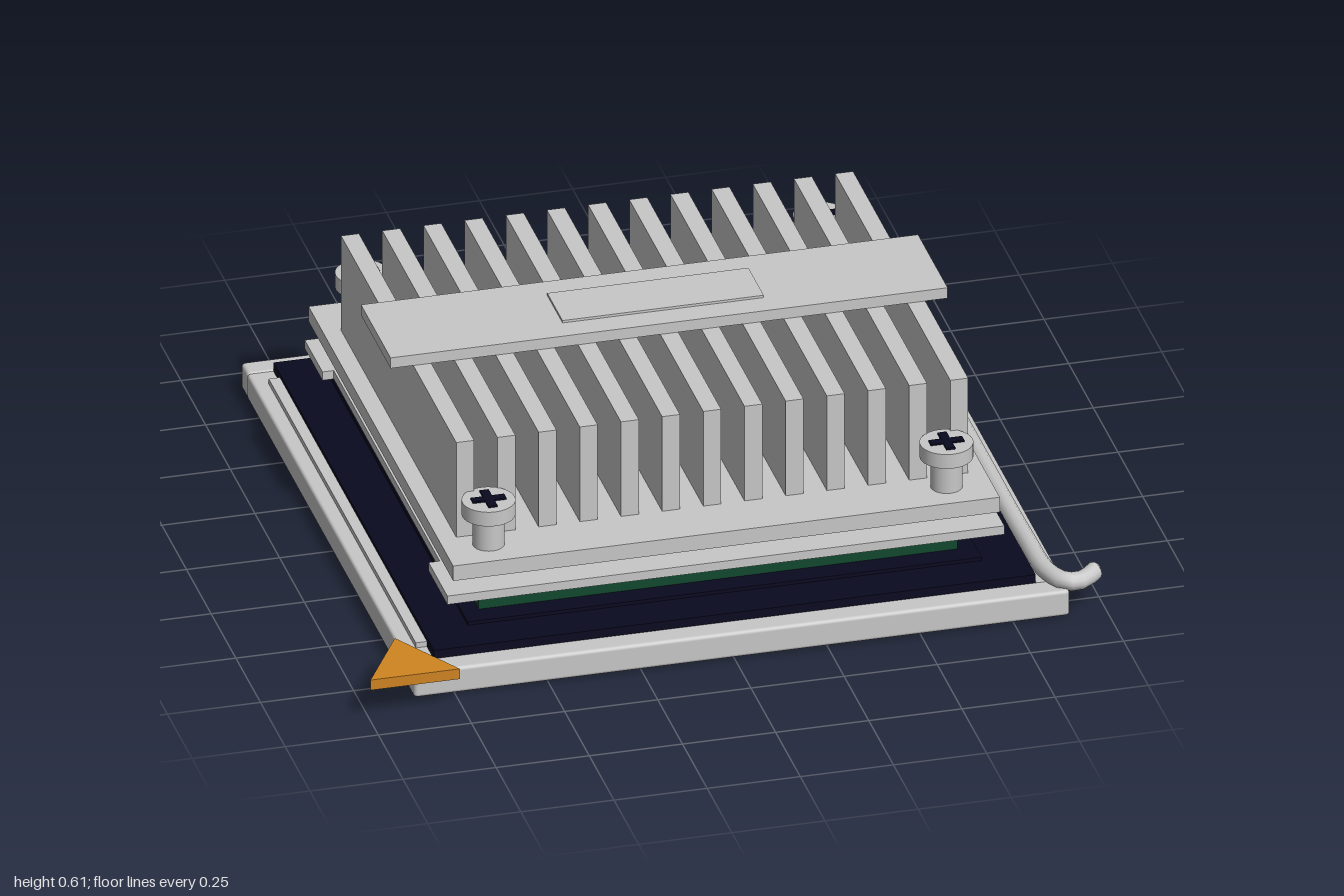
import * as THREE from 'three';
import { RoundedBoxGeometry } from 'three/addons/geometries/RoundedBoxGeometry.js';

const mat = (name, color, extra = {}) => {
  const m = new THREE.MeshStandardMaterial({ color, ...extra });
  m.name = name;
  return m;
};

export function createModel() {
  const model = new THREE.Group();
  model.name = 'cooledProcessorSocket';
  const grey = mat('light grey', 0xc8c8c8);
  const navy = mat('dark navy', 0x0a0a20);
  const green = mat('board green', 0x12492e);
  const orange = mat('marker orange', 0xd08522);

  const add = (name, geo, material, x = 0, y = 0, z = 0, parent = model) => {
    const mesh = new THREE.Mesh(geo, material);
    mesh.name = name;
    mesh.position.set(x, y, z);
    parent.add(mesh);
    return mesh;
  };
  // Box given by its extents; r rounds the edges
  const box = (name, material, x0, x1, y0, y1, z0, z1, r = 0, parent = model) => {
    const s = [x1 - x0, y1 - y0, z1 - z0];
    const geo = r ? new RoundedBoxGeometry(...s, 2, r) : new THREE.BoxGeometry(...s);
    return add(name, geo, material, (x0 + x1) / 2, (y0 + y1) / 2, (z0 + z1) / 2, parent);
  };
  // Horizontal slab from [x, z] outline points
  const slab = (name, material, points, y0, y1) => {
    const shape = new THREE.Shape(points.map(([x, z]) => new THREE.Vector2(x, -z)));
    const geo = new THREE.ExtrudeGeometry(shape, { depth: y1 - y0, bevelEnabled: false });
    geo.rotateX(-Math.PI / 2);
    return add(name, geo, material, 0, y0, 0);
  };

  // Socket frame
  box('frontRail', grey, -0.86, 0.9, 0.002, 0.077, 0.765, 0.835, 0.01);
  box('backRail', grey, -0.86, 0.9, 0.002, 0.077, -0.92, -0.855, 0.01);
  box('leftRail', grey, -0.86, -0.785, 0.002, 0.075, -0.86, 0.77, 0.008);
  box('rightRail', grey, 0.825, 0.9, 0.002, 0.075, -0.86, 0.77, 0.008);
  box('railRidge', grey, -0.82, -0.783, 0.07, 0.09, -0.79, 0.7);
  box('leverHinge', grey, 0.812, 0.897, 0.06, 0.12, -0.895, -0.803);

  // Socket body, underside and raised contact field
  box('underside', navy, -0.835, 0.873, 0, 0.05, -0.893, 0.808);
  box('socketBody', navy, -0.79, 0.825, 0.04, 0.1, -0.855, 0.77);
  box('contactField', navy, -0.67, 0.71, 0.1, 0.11, -0.735, 0.66);

  // Locking lever with a bent handle
  const leverPath = new THREE.CatmullRomCurve3([
    [0.853, 0.09, -0.84], [0.853, 0.09, -0.4], [0.853, 0.09, 0.1], [0.855, 0.09, 0.55],
    [0.864, 0.09, 0.74], [0.895, 0.09, 0.805], [0.94, 0.087, 0.805], [0.982, 0.093, 0.775],
  ].map((p) => new THREE.Vector3(...p)));
  add('lever', new THREE.TubeGeometry(leverPath, 64, 0.025, 12), grey);
  const cap = add('leverTip', new THREE.SphereGeometry(0.025, 12, 8), grey, 0.978, 0.093, 0.778);
  cap.scale.set(0.8, 1, 0.8);

  // Orientation markers
  slab('cornerMarker', orange, [[-1, 0.92], [-0.76, 0.92], [-0.88, 0.715]], 0.09, 0.12);
  slab('pinOneMarker', orange, [[-0.63, 0.55], [-0.48, 0.55], [-0.555, 0.43]], 0.148, 0.166);

  // Processor board with components around the lid
  box('board', green, -0.625, 0.66, 0.11, 0.146, -0.685, 0.6);
  for (let i = 0; i < 7; i++) {
    const x = -0.43 + i * 0.15, z = 0.42 - i * 0.153;
    for (const ze of [0.565, -0.65])
      box('component', navy, x - 0.027, x + 0.027, 0.146, 0.16, ze - 0.015, ze + 0.015);
    for (const xe of [-0.585, 0.622])
      box('component', navy, xe - 0.015, xe + 0.015, 0.146, 0.16, z - 0.027, z + 0.027);
  }
  box('heatSpreader', grey, -0.54, 0.58, 0.146, 0.182, -0.6, 0.52);

  // Clamping plate, waisted on both sides
  slab('clampPlate', grey, [
    [-0.73, 0.68], [0.765, 0.68], [0.765, 0.49], [0.735, 0.49], [0.735, -0.585], [0.765, -0.585],
    [0.765, -0.765], [-0.73, -0.765], [-0.73, -0.585], [-0.7, -0.585], [-0.7, 0.49], [-0.73, 0.49],
  ], 0.18, 0.205);
  box('lowerStep', grey, -0.47, 0.508, 0.205, 0.232, -0.532, 0.45);
  box('upperStep', grey, -0.49, 0.527, 0.232, 0.253, -0.55, 0.467);

  // Heat sink
  const sink = new THREE.Group();
  sink.name = 'heatSink';
  model.add(sink);
  box('sinkBase', grey, -0.717, 0.75, 0.253, 0.297, -0.775, 0.69, 0, sink);
  for (let i = 0; i < 13; i++) {
    const x = -0.645 + i * 0.1105;
    box('fin', grey, x - 0.024, x + 0.024, 0.297, 0.576, -0.627, 0.54, 0, sink);
  }
  box('topBar', grey, -0.73, 0.765, 0.576, 0.607, -0.195, 0.105, 0, sink);
  box('topPad', grey, -0.25, 0.29, 0.607, 0.614, -0.12, 0.035, 0, sink);

  // Corner screws with cross slots
  for (const x of [-0.597, 0.632]) {
    for (const z of [-0.688, 0.595]) {
      const screw = new THREE.Group();
      screw.name = 'screw';
      screw.position.set(x, 0, z);
      model.add(screw);
      add('screwShaft', new THREE.CylinderGeometry(0.042, 0.042, 0.1, 24), grey, 0, 0.342, 0, screw);
      add('screwHead', new THREE.CylinderGeometry(0.07, 0.07, 0.042, 32), grey, 0, 0.406, 0, screw);
      box('crossSlot', navy, -0.045, 0.045, 0.425, 0.432, -0.012, 0.012, 0, screw);
      box('crossSlot', navy, -0.012, 0.012, 0.425, 0.4325, -0.045, 0.045, 0, screw);
    }
  }
  return model;
}
